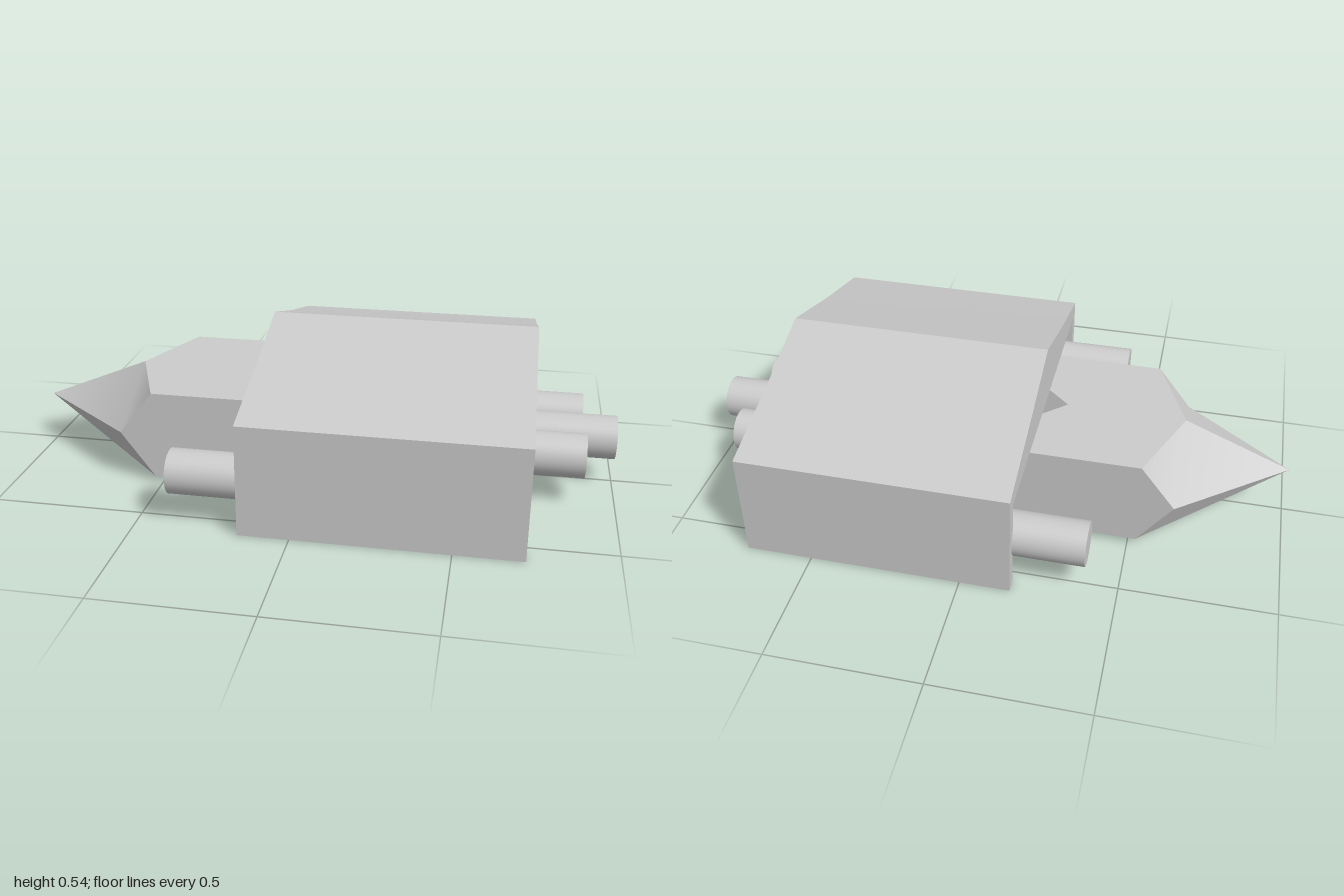
import * as THREE from 'three';
import { toCreasedNormals } from 'three/addons/utils/BufferGeometryUtils.js';

const grey = new THREE.MeshStandardMaterial({ color: 0xcccccc });
const greyOpen = new THREE.MeshStandardMaterial({ color: 0xcccccc, side: THREE.DoubleSide });
const CREASE = 0.55;

function part(group, name, geometry, material = grey) {
  const mesh = new THREE.Mesh(geometry, material);
  mesh.name = name;
  group.add(mesh);
  return mesh;
}

// Round tube lying along x
function tube(group, name, x0, x1, y, z, r = 0.073) {
  const geo = new THREE.CylinderGeometry(r, r, x1 - x0, 32).rotateZ(Math.PI / 2);
  part(group, name, geo).position.set((x0 + x1) / 2, y, z);
}

// Gabled roof with two hanging side walls, extruded along x
function roofShell() {
  const half = [[0.585, 0], [0.585, 0.37], [0.285, 0.45]];
  const inner = [[0.542, 0.327], [0.542, 0]];
  const outline = [
    ...half, [0, 0.537],
    ...half.slice().reverse().map(([z, y]) => [-z, y]),
    ...inner.slice().reverse().map(([z, y]) => [-z, y]),
    ...inner,
  ];
  const shape = new THREE.Shape(outline.map(([z, y]) => new THREE.Vector2(-z, y)));
  const geo = new THREE.ExtrudeGeometry(shape, { depth: 0.885, bevelEnabled: false });
  return toCreasedNormals(geo.rotateY(Math.PI / 2).translate(-0.165, 0, 0), CREASE);
}

// Pointed hull, open and V-notched at the rear; one half is listed, the other mirrored
function hullGeometry() {
  const top = 0.324, mid = 0.175, low = 0.02, w = 0.283;
  const P = {
    tip: [-1, mid, 0], ridge: [-0.64, top, 0], cheek: [-0.64, mid, w],
    topFront: [-0.525, top, w], lowFront: [-0.525, low, w], lowMid: [-0.525, low, 0],
    topRear: [0.07, top, w], lowRear: [0.07, low, w],
    topNotch: [-0.24, top, 0], lowNotch: [-0.22, low, 0],
  };
  const faces = [
    ['ridge', 'topFront', 'topRear', 'topNotch'],
    ['cheek', 'lowFront', 'lowRear', 'topRear', 'topFront'],
    ['tip', 'cheek', 'ridge'],
    ['ridge', 'cheek', 'topFront'],
    ['tip', 'lowFront', 'cheek'],
    ['tip', 'lowMid', 'lowFront'],
    ['lowMid', 'lowNotch', 'lowRear', 'lowFront'],
  ];
  const pos = [];
  for (const side of [1, -1]) {
    for (const face of faces) {
      const f = side > 0 ? face : face.slice().reverse();
      // fan from the face's first listed corner
      const start = f.indexOf(face[0]);
      const ring = f.map((_, i) => P[f[(start + i) % f.length]]);
      for (let i = 1; i < ring.length - 1; i++) {
        for (const [x, y, z] of [ring[0], ring[i], ring[i + 1]]) pos.push(x, y, z * side);
      }
    }
  }
  const geo = new THREE.BufferGeometry();
  geo.setAttribute('position', new THREE.Float32BufferAttribute(pos, 3));
  return toCreasedNormals(geo, CREASE);
}

export function createModel() {
  const model = new THREE.Group();
  model.name = 'spacecraft';

  part(model, 'roofShell', roofShell());
  part(model, 'noseHull', hullGeometry(), greyOpen);

  // Engine block under the rear of the roof
  part(model, 'engineBlock', new THREE.BoxGeometry(0.449, 0.33, 0.552))
    .position.set(0.495, 0.185, 0.005);

  // Three engines through the block
  const engines = new THREE.Group();
  engines.name = 'engines';
  for (const [z, end] of [[0.162, 0.895], [0, 1], [-0.178, 0.895]]) {
    tube(engines, 'engine', end - 0.855, end, 0.162, z);
  }
  model.add(engines);

  // Side cannons inside the hanging walls
  tube(model, 'leftCannon', -0.395, 0.46, 0.162, 0.5);
  tube(model, 'rightCannon', -0.395, 0.46, 0.162, -0.487);

  return model;
}
